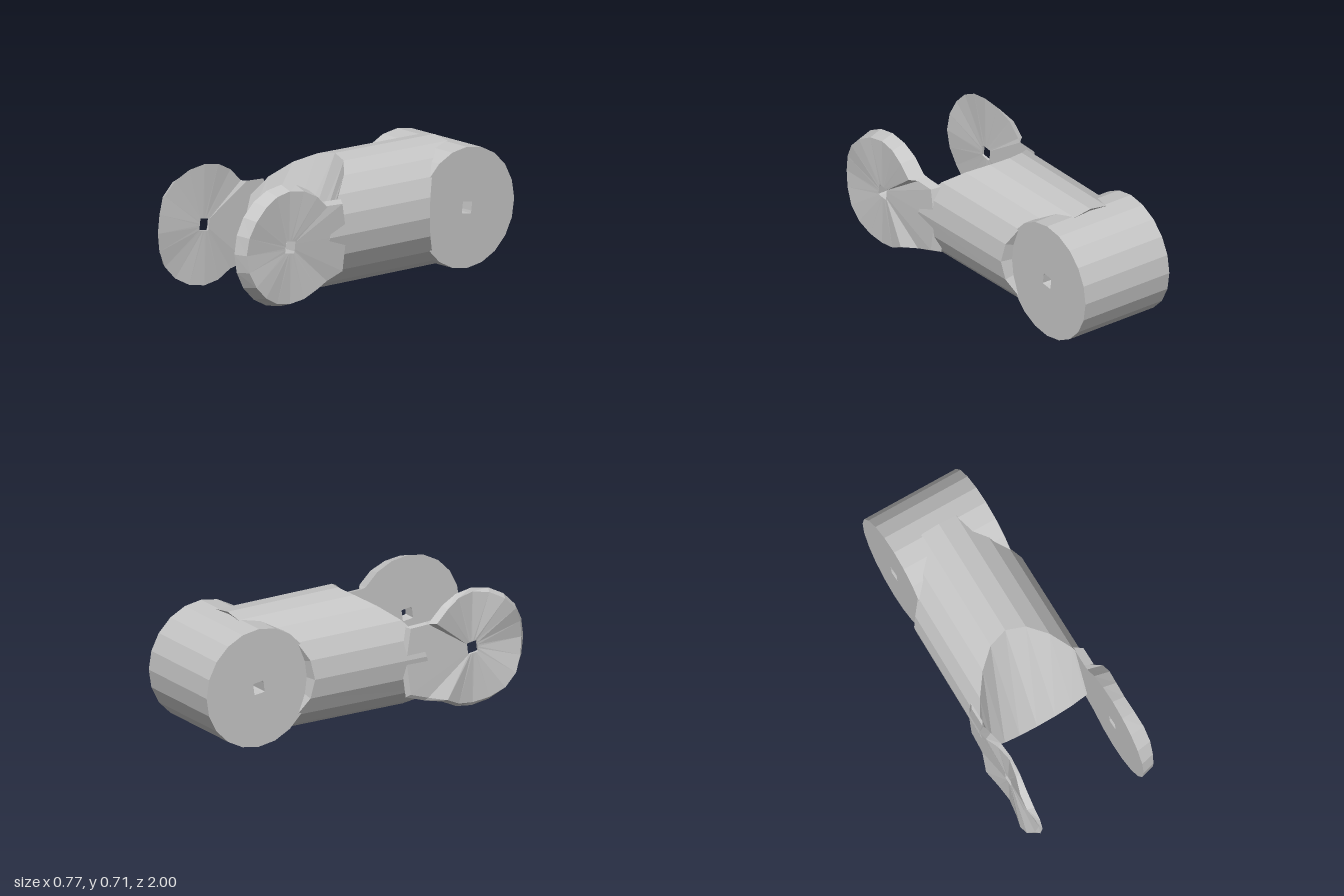
import * as THREE from 'three';

const MID_Y = 0.352, R = 0.335, BARREL_Z = -0.662, LUG_Z = 0.665;

const steel = new THREE.MeshStandardMaterial({ color: 0xc6c6c6, flatShading: true });
steel.name = 'light grey';

function makeMesh(name, points, index) {
  const geometry = new THREE.BufferGeometry();
  geometry.setAttribute('position', new THREE.Float32BufferAttribute(points.flat(), 3));
  geometry.setIndex(index);
  const flat = geometry.toNonIndexed();
  flat.computeVertexNormals();
  const mesh = new THREE.Mesh(flat, steel);
  mesh.name = name;
  return mesh;
}

// Closed plate across x with a small square hole; rim is a list of [dz, dy] round the hole.
// xRight and xLeft give the two faces at each angle, the scales shrink each face's rim.
function piercedPlate(name, rim, z, xRight, xLeft, scaleRight = 1, scaleLeft = 1) {
  const n = rim.length, points = [], index = [];
  const hole = rim.map(([a, b]) => {
    const t = Math.atan2(b, a) - 0.12;
    const s = 0.033 / Math.max(Math.abs(Math.cos(t)), Math.abs(Math.sin(t)));
    return [s * Math.cos(t + 0.12), s * Math.sin(t + 0.12)];
  });
  const rings = [[hole, xRight, 1, 0], [rim, xRight, scaleRight, 1],
    [rim, xLeft, scaleLeft, 1], [hole, xLeft, 1, 0]];
  rings.forEach(([ring, x, s, edge]) => ring.forEach(([a, b]) =>
    points.push([x(a, b, edge), MID_Y + b * s, z + a * s])));
  for (let j = 0; j < 4; j++) {
    for (let i = 0; i < n; i++) {
      const k = (i + 1) % n, m = (j + 1) % 4;
      const a = j * n + i, b = j * n + k, c = m * n + k, d = m * n + i;
      index.push(a, b, c, a, c, d);
    }
  }
  return makeMesh(name, points, index);
}

function arc(from, to, steps) {
  return Array.from({ length: steps + 1 }, (_, i) => {
    const t = THREE.MathUtils.degToRad(from + (to - from) * i / steps);
    return [R * Math.cos(t), R * Math.sin(t)];
  });
}

// Round link body: saddle-shaped rear against the barrel, sloping hollow front
function createBody() {
  const n = 20, r = 0.355, points = [], index = [];
  const angle = i => i * 2 * Math.PI / n;
  for (let i = 0; i < n; i++) {
    const x = r * Math.cos(angle(i)), dy = r * Math.sin(angle(i));
    const z = BARREL_Z - 0.015 + Math.sqrt(Math.max(0, R * R - dy * dy));
    points.push([x * 0.985, r + dy * 0.985, z]);
  }
  for (let i = 0; i < n; i++) {
    const x = r * Math.cos(angle(i)), dy = r * Math.sin(angle(i));
    points.push([x, r + dy, dy > -0.01 ? 0.03 + 2.7 * x * x : 0.37 + 0.3 * x * x]);
  }
  const centre = points.push([0, r, -0.42]) - 1;
  for (let i = 0; i < n; i++) {
    const k = (i + 1) % n;
    index.push(i, k, n + k, i, n + k, n + i, centre, k, i);
  }
  // front strips join each upper point to the one below it
  for (let i = 0; i < n / 2; i++) {
    const a = n + i, b = n + i + 1, c = n + (n - i - 1), d = n + (n - i) % n;
    if (i < n / 2 - 1) index.push(a, b, c);
    if (i > 0) index.push(a, c, d);
  }
  return makeMesh('body', points, index);
}

export function createModel() {
  const group = new THREE.Group();
  group.name = 'forkLink';
  group.add(createBody());

  // rear barrel lying across the link
  group.add(piercedPlate('rearBarrel', arc(0, 342, 19), BARREL_Z, () => 0.285, () => -0.288));

  // fork lugs: round eye with a neck running back into the body
  const lugRim = [...arc(-125, 143, 15),
    [-0.3, 0.195], [-0.42, 0.19], [-0.45, 0], [-0.42, -0.21], [-0.3, -0.25]];
  const wave = (a, b) => Math.cos(4 * Math.atan2(b, a));
  const isNeck = a => a < -0.29;

  group.add(piercedPlate('leftLug', lugRim, LUG_Z,
    (a, b, edge) => !edge ? 0.368 : isNeck(a) ? 0.345 : 0.378 - 0.008 * wave(a, b),
    () => 0.296, 0.93, 1));

  // thinner, dished lug on the other side
  group.add(piercedPlate('rightLug', lugRim, LUG_Z,
    (a, b, edge) => edge && !isNeck(a) ? -0.342 + 0.008 * wave(a, b) : -0.338,
    (a, b, edge) => !edge ? -0.352 : isNeck(a) ? -0.35 : -0.368 + 0.022 * wave(a, b),
    1, 0.94));
  return group;
}
